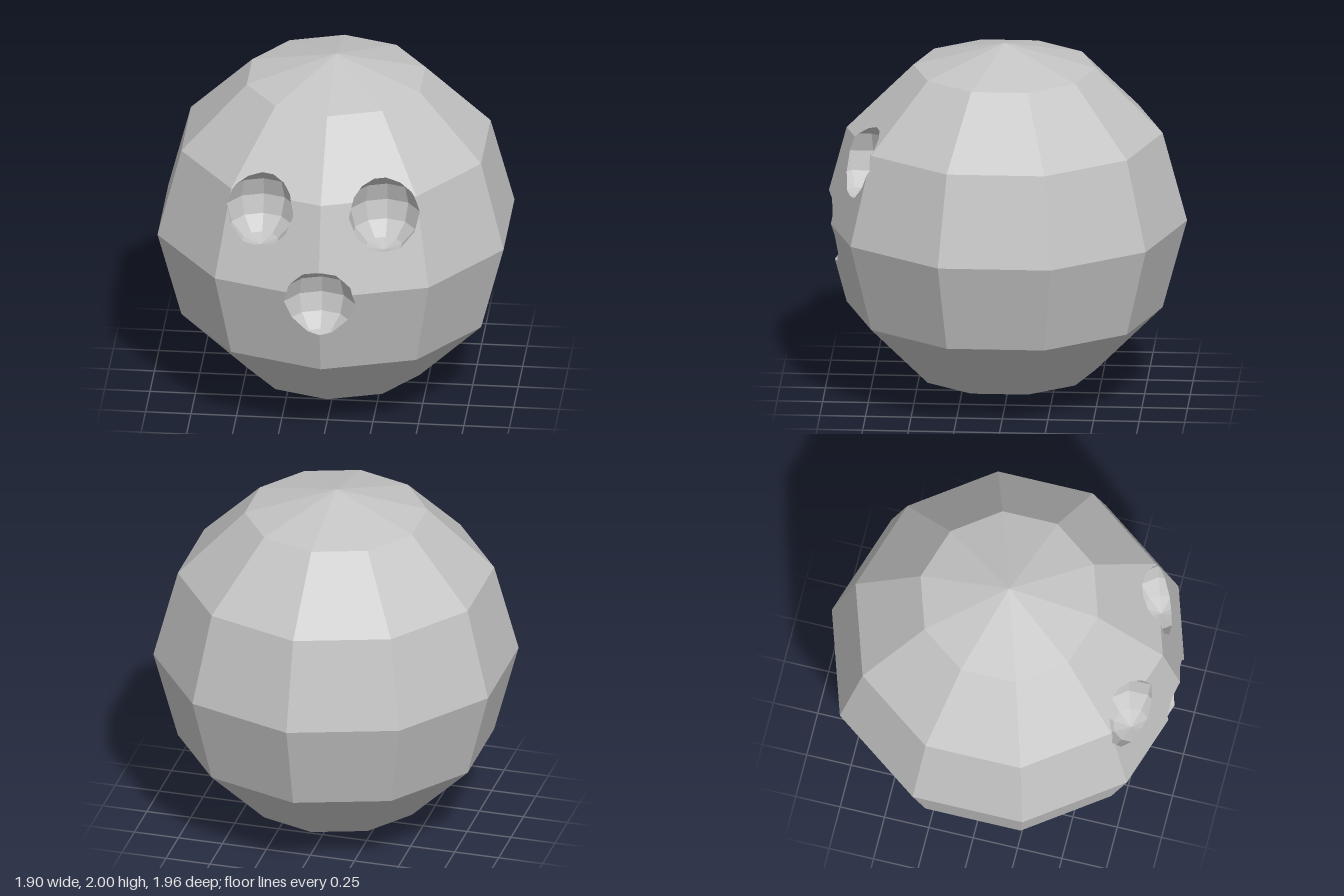
import * as THREE from 'three';

const SIDES = 10, RINGS = 6, EPS = 1e-6;

// Outward-facing flat facets of a coarse sphere, as lists of corner points
function sphereFacets(center, scale) {
  const point = (ring, side) => {
    const t = (ring / RINGS) * Math.PI, a = (side / SIDES) * Math.PI * 2;
    return new THREE.Vector3(Math.sin(t) * Math.sin(a), -Math.cos(t), Math.sin(t) * Math.cos(a))
      .multiply(scale).add(center);
  };
  const facets = [];
  for (let r = 0; r < RINGS; r++) {
    for (let s = 0; s < SIDES; s++) {
      const facet = [];
      if (r === 0) facet.push(point(0, 0));
      else facet.push(point(r, s), point(r, s + 1));
      if (r === 0) facet.push(point(1, s + 1), point(1, s));
      else if (r === RINGS - 1) facet.push(point(RINGS, 0));
      else facet.push(point(r + 1, s + 1), point(r + 1, s));
      facets.push(facet);
    }
  }
  return facets;
}

const planesOf = (facets) =>
  facets.map((f) => new THREE.Plane().setFromCoplanarPoints(f[0], f[1], f[2]));

// Split a convex polygon by a plane into its inner and outer pieces
function split(poly, plane) {
  const inner = [], outer = [];
  poly.forEach((p, i) => {
    const q = poly[(i + 1) % poly.length];
    const dp = plane.distanceToPoint(p), dq = plane.distanceToPoint(q);
    if (dp <= EPS) inner.push(p);
    if (dp >= -EPS) outer.push(p);
    if ((dp > EPS && dq < -EPS) || (dp < -EPS && dq > EPS)) {
      const cut = p.clone().lerp(q, dp / (dp - dq));
      inner.push(cut);
      outer.push(cut);
    }
  });
  return { inner, outer };
}

// Part of a polygon inside a convex solid
function keepInside(poly, planes) {
  for (const plane of planes) {
    if (poly.length < 3) return [];
    poly = split(poly, plane).inner;
  }
  return poly.length < 3 ? [] : [poly];
}

// Parts of a polygon outside a convex solid
function keepOutside(poly, planes) {
  if (!keepInside(poly, planes).length) return [poly];
  const pieces = [];
  let rest = poly;
  for (const plane of planes) {
    const { inner, outer } = split(rest, plane);
    if (outer.length > 2) pieces.push(outer);
    rest = inner;
    if (rest.length < 3) break;
  }
  return pieces;
}

// Unshared corners give each facet its own flat normal
function facetMesh(name, polys, material) {
  const points = [];
  for (const p of polys) {
    for (let i = 1; i < p.length - 1; i++) points.push(p[0], p[i], p[i + 1]);
  }
  const geometry = new THREE.BufferGeometry().setFromPoints(points);
  geometry.computeVertexNormals();
  const mesh = new THREE.Mesh(geometry, material);
  mesh.name = name;
  return mesh;
}

export function createModel() {
  const group = new THREE.Group();
  group.name = 'ballWithHoles';
  const grey = new THREE.MeshStandardMaterial({ color: 0xc4c4c4 });
  grey.name = 'lightGrey';

  const V = (x, y, z) => new THREE.Vector3(x, y, z);
  let shell = sphereFacets(V(0, 1, 0.0175), V(1, 1, 1));
  const shellPlanes = planesOf(shell);

  // Two finger holes and a thumb hole, each scooped out by a small sphere
  const holes = [
    { name: 'leftFingerHole', at: V(0.34, 1.415, 0.79), size: V(0.2, 0.212, 0.2) },
    { name: 'rightFingerHole', at: V(-0.34, 1.415, 0.79), size: V(0.2, 0.212, 0.2) },
    { name: 'thumbHole', at: V(0, 0.935, 1.0), size: V(0.207, 0.207, 0.207) },
  ];
  for (const { name, at, size } of holes) {
    const scoop = sphereFacets(at, size);
    const scoopPlanes = planesOf(scoop);
    shell = shell.flatMap((f) => keepOutside(f, scoopPlanes));
    const lining = scoop.flatMap((f) => keepInside(f, shellPlanes)).map((f) => f.slice().reverse());
    group.add(facetMesh(name, lining, grey));
  }

  // Outer ball
  group.add(facetMesh('ball', shell, grey));
  return group;
}
